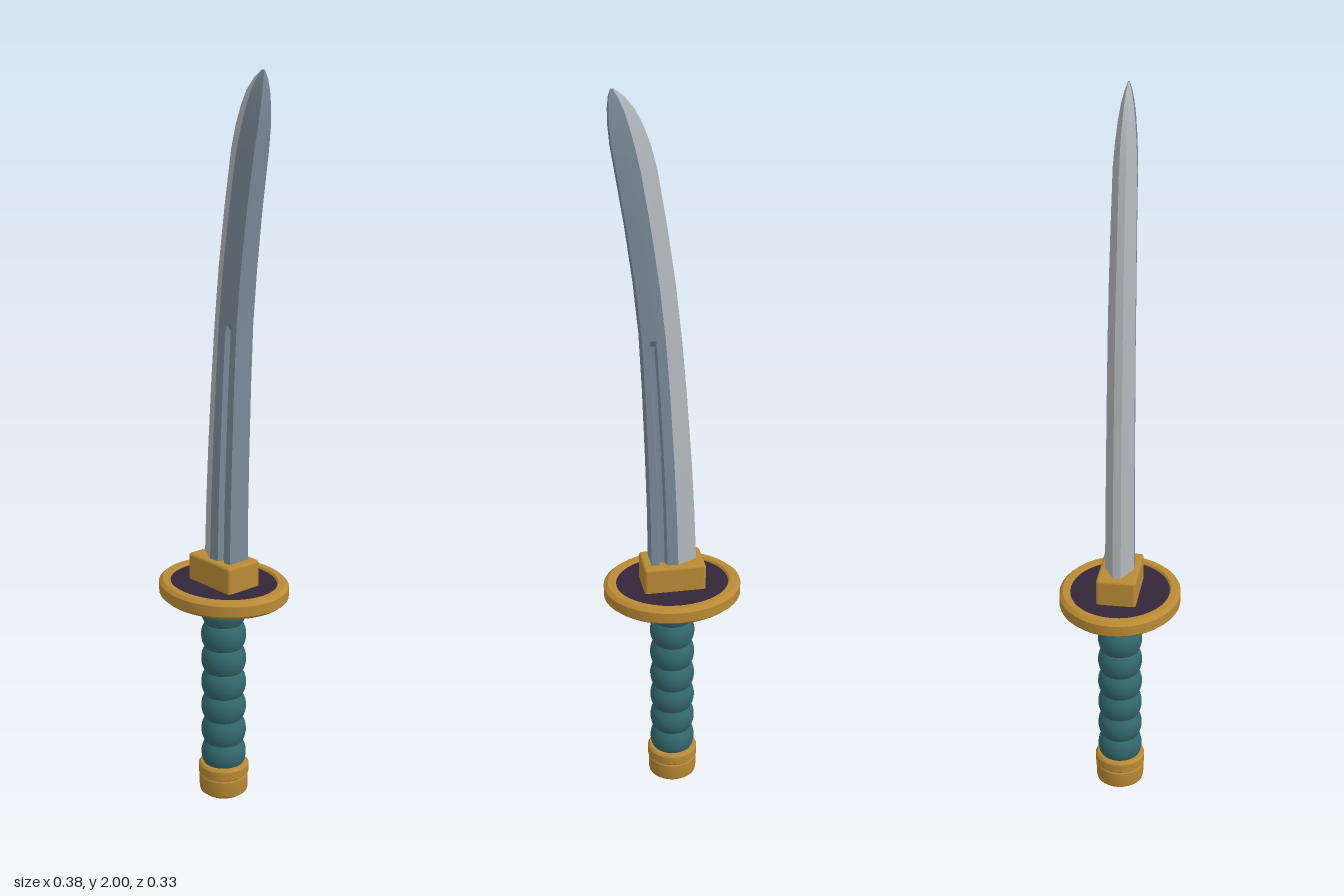
import * as THREE from 'three';
import { toCreasedNormals } from 'three/addons/utils/BufferGeometryUtils.js';
import { RoundedBoxGeometry } from 'three/addons/geometries/RoundedBoxGeometry.js';

const mat = (name, color) => {
  const m = new THREE.MeshStandardMaterial({ color });
  m.name = name;
  return m;
};

// Turned part from [radius, y] points, listed upwards on the outside
function turned(name, points, material, segments = 32) {
  const geo = new THREE.LatheGeometry(points.map(p => new THREE.Vector2(...p)), segments);
  const mesh = new THREE.Mesh(toCreasedNormals(geo, 0.4), material);
  mesh.name = name;
  return mesh;
}

// Blade stations: y, cutting edge x, spine x, half thickness, groove depth
const stations = [
  [0.69, -0.065, 0.062, 0.040, 1], [0.85, -0.059, 0.064, 0.039, 1],
  [1.00, -0.051, 0.068, 0.038, 1], [1.20, -0.037, 0.075, 0.037, 1],
  [1.34, -0.025, 0.082, 0.036, 1], [1.36, -0.023, 0.083, 0.036, 0],
  [1.50, -0.008, 0.097, 0.035, 0], [1.65, 0.013, 0.117, 0.033, 0],
  [1.80, 0.038, 0.141, 0.031, 0], [1.86, 0.053, 0.151, 0.027, 0],
  [1.91, 0.071, 0.156, 0.022, 0], [1.95, 0.091, 0.157, 0.016, 0],
  [1.98, 0.115, 0.155, 0.009, 0], [2.00, 0.140, 0.150, 0.002, 0],
];
// Half section: position from edge to spine, relative thickness, groove cut
const section = [
  [0, 0.28, 0], [0.43, 1, 0], [0.66, 0.95, 0], [0.70, 0.93, 0.4],
  [0.80, 0.89, 0.4], [0.84, 0.87, 0], [1, 0.8, 0],
];

function bladeRing([y, edge, spine, half, groove]) {
  const front = section.map(([u, t, cut]) =>
    [edge + (spine - edge) * u, y, half * (t - cut * groove)]);
  const back = front.map(([x, h, z]) => [x, h, -z]).reverse();
  return [...front, ...back];
}

// Skin the chosen columns of the blade section
function bladeMesh(name, columns, material, withTip) {
  const rings = stations.map(bladeRing);
  const n = rings[0].length;
  const pos = [];
  const quad = (a, b, c, d) => pos.push(...a, ...b, ...c, ...a, ...c, ...d);
  for (let i = 0; i < rings.length - 1; i++) {
    for (const k of columns) {
      const next = (k + 1) % n;
      quad(rings[i][k], rings[i][next], rings[i + 1][next], rings[i + 1][k]);
    }
  }
  if (withTip) {
    const tip = rings[rings.length - 1];
    for (let k = 0; k < section.length - 1; k++) {
      quad(tip[k], tip[k + 1], tip[n - 2 - k], tip[n - 1 - k]);
    }
  }
  const geo = new THREE.BufferGeometry();
  geo.setAttribute('position', new THREE.Float32BufferAttribute(pos, 3));
  const mesh = new THREE.Mesh(toCreasedNormals(geo, 0.3), material);
  mesh.name = name;
  return mesh;
}

export function createModel() {
  const gold = mat('gold', 0xb98a35);
  const teal = mat('teal wrap', 0x33696e);
  const plum = mat('dark plum', 0x35263a);
  const steel = mat('blue steel', 0x7d8c9a);
  const bright = mat('bright steel', 0xb0b6ba);
  const model = new THREE.Group();
  model.name = 'sword';

  // Blade: bright bevels around the cutting edge, blue body and spine
  const blade = new THREE.Group();
  blade.name = 'blade';
  blade.add(
    bladeMesh('cuttingEdge', [0, 12, 13], bright, false),
    bladeMesh('bladeBody', [1, 2, 3, 4, 5, 6, 7, 8, 9, 10, 11], steel, true),
  );
  model.add(blade);

  // Oval guard: bevelled rim with a recessed dark plate
  const guard = new THREE.Group();
  guard.name = 'guard';
  guard.add(
    turned('guardRim', [
      [0.155, 0.590], [0.178, 0.590], [0.189, 0.599], [0.189, 0.628],
      [0.178, 0.637], [0.159, 0.637], [0.155, 0.632], [0.155, 0.590],
    ], gold, 40),
    turned('guardPlate', [[0, 0.596], [0.158, 0.596], [0.158, 0.630], [0, 0.630]], plum, 40),
  );
  guard.scale.z = 0.167 / 0.189;
  model.add(guard);

  // Collar holding the blade
  const collar = new THREE.Mesh(new RoundedBoxGeometry(0.17, 0.085, 0.11, 2, 0.009), gold);
  collar.name = 'bladeCollar';
  collar.position.y = 0.6615;
  model.add(collar);

  // Ring under the guard
  model.add(turned('gripRing', [
    [0, 0.580], [0.060, 0.580], [0.066, 0.585], [0.066, 0.598], [0, 0.598],
  ], gold));

  // Wrapped grip: repeated bulging bands
  const bands = 7, bottom = 0.085, step = (0.583 - bottom) / bands;
  const grip = [];
  for (let i = 0; i < bands; i++) {
    const y = bottom + i * step;
    grip.push([0.052, y], [0.059, y + step * 0.2], [0.062, y + step * 0.4],
      [0.062, y + step * 0.6], [0.059, y + step * 0.8]);
  }
  grip.push([0.052, 0.583]);
  model.add(turned('grip', grip, teal));

  // Pommel cap with a shallow groove
  model.add(turned('pommel', [
    [0, 0], [0.056, 0], [0.066, 0.008], [0.068, 0.018], [0.068, 0.054],
    [0.066, 0.058], [0.070, 0.062], [0.070, 0.086], [0.064, 0.093], [0, 0.093],
  ], gold));

  return model;
}
